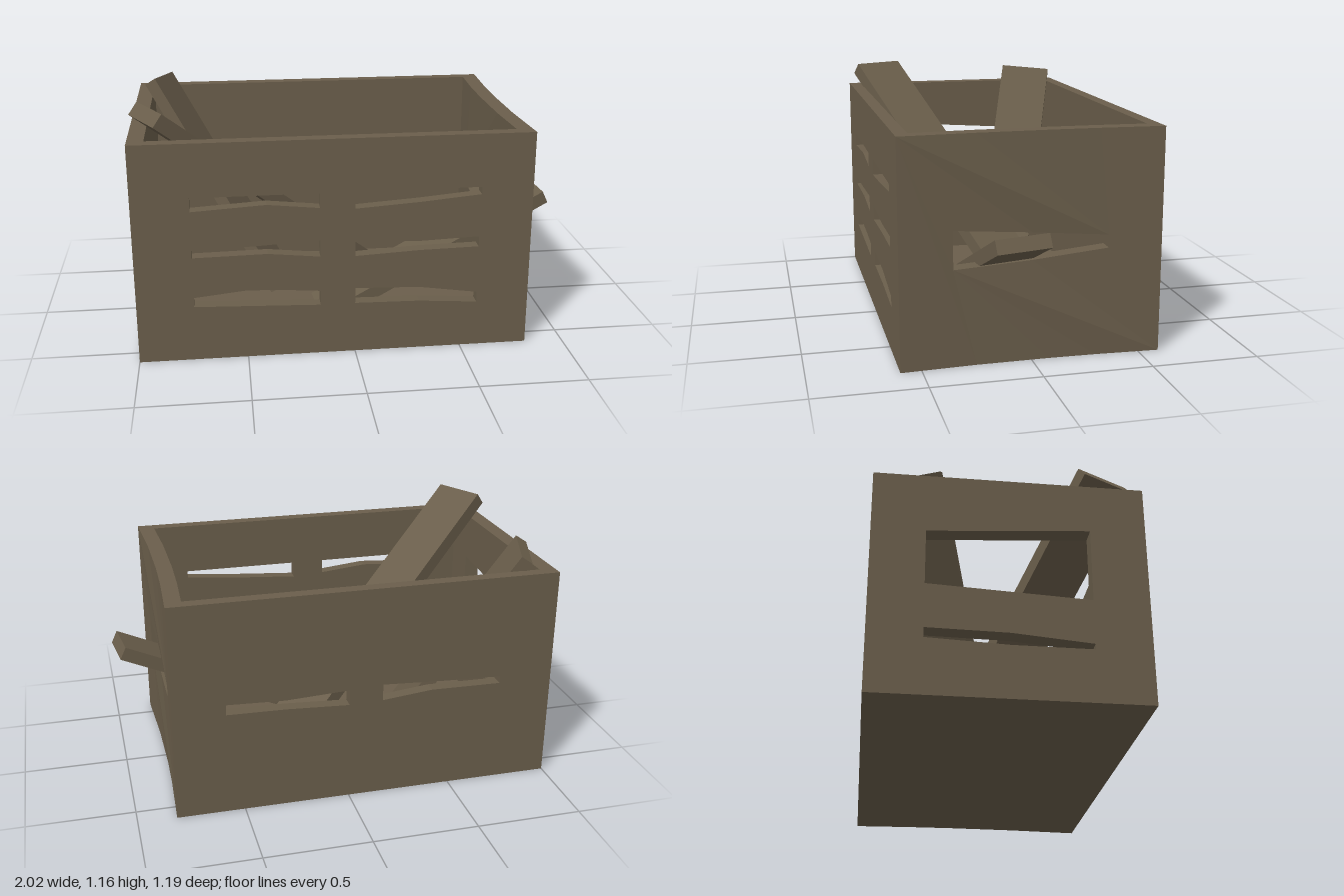
import * as THREE from 'three';

export function createModel() {
  const model = new THREE.Group();
  const wood = new THREE.MeshStandardMaterial({ color: 0x6a5e4b });
  wood.name = 'weathered wood';

  const H = 1.04, Z = 0.595, X0 = -1, X1 = 0.82; // outer crate size
  const T = 0.06, TS = 0.075;                    // end and side wall thickness

  function add(name, geometry) {
    const mesh = new THREE.Mesh(geometry, wood);
    mesh.name = name;
    model.add(mesh);
    return mesh;
  }

  const points = list => list.map(([x, y]) => new THREE.Vector2(x, y));

  // Flat wall with polygon holes, extruded along +z
  function wallGeometry(outline, holes, depth) {
    const shape = new THREE.Shape(points(outline));
    for (const hole of holes) shape.holes.push(new THREE.Path(points(hole)));
    return new THREE.ExtrudeGeometry(shape, { depth, bevelEnabled: false });
  }

  // Uneven slots shared by the long walls
  const middleSlots = [
    [[-0.74, 0.54], [-0.45, 0.55], [-0.16, 0.565], [-0.16, 0.485], [-0.4, 0.51], [-0.74, 0.505]],
    [[0, 0.555], [0.3, 0.54], [0.575, 0.55], [0.575, 0.5], [0.3, 0.495], [0, 0.48]],
  ];
  const outerSlots = [
    [[-0.74, 0.79], [-0.16, 0.79], [-0.16, 0.72], [-0.4, 0.745], [-0.74, 0.725]],
    [[0, 0.79], [0.58, 0.79], [0.58, 0.755], [0.3, 0.73], [0, 0.71]],
    [[-0.74, 0.31], [-0.5, 0.335], [-0.35, 0.33], [-0.16, 0.315], [-0.16, 0.245], [-0.74, 0.265]],
    [[0, 0.32], [0.3, 0.31], [0.575, 0.27], [0.575, 0.22], [0.3, 0.24], [0, 0.245]],
  ];

  // Long walls fit between the side walls
  const longOutline = [[X0 + TS, 0], [X1 - TS, 0], [X1 - TS, H], [X0 + TS, H]];
  add('frontWall', wallGeometry(longOutline, [...middleSlots, ...outerSlots], T)).position.z = Z - T;
  add('backWall', wallGeometry(longOutline, middleSlots, T)).position.z = -Z;

  // Side walls are drawn in (z, y); bow pushes the middle along x
  function sideWall(name, outerX, holes, bow) {
    const stations = [-Z, -0.3, -0.08, 0.25, Z];
    const outline = [
      ...stations.map(z => [z, 0]),
      ...[...stations].reverse().map(z => [z, H]),
    ];
    const geometry = wallGeometry(outline, holes, TS);
    geometry.rotateY(-Math.PI / 2);
    geometry.translate(outerX, 0, 0);
    const pos = geometry.attributes.position;
    for (let i = 0; i < pos.count; i++) {
      const s = pos.getZ(i) / Z;
      pos.setX(i, pos.getX(i) - bow * (1 - s * s));
    }
    geometry.computeVertexNormals();
    add(name, geometry);
  }
  sideWall('leftWall', X1, [
    [[-0.35, 0.5], [-0.35, 0.56], [0, 0.59], [0.355, 0.62], [0.355, 0.445], [0, 0.465]],
  ], 0.02);
  sideWall('rightWall', X0 + TS, [
    [[-0.36, 0.505], [-0.36, 0.76], [0.35, 0.81], [0.35, 0.47]],
    [[-0.36, 0.255], [-0.36, 0.3], [0, 0.295], [0.35, 0.265], [0.35, 0.24], [0, 0.24]],
  ], 0);

  // Floor
  const floor = new THREE.BoxGeometry(X1 - X0 - 2 * TS, 0.05, 2 * (Z - T));
  floor.translate((X0 + X1) / 2, 0.025, 0);
  add('floor', floor);

  // Loose plank: top face spans length and width from a start corner
  function plank(name, start, length, width, thickness) {
    const L = new THREE.Vector3(...length);
    const W = new THREE.Vector3(...width);
    const N = L.clone().cross(W).normalize().multiplyScalar(thickness);
    const geometry = new THREE.BoxGeometry(1, 1, 1);
    geometry.translate(0.5, -0.5, 0.5);
    geometry.applyMatrix4(new THREE.Matrix4().makeBasis(W, N, L).setPosition(...start));
    add(name, geometry);
  }
  plank('longLoosePlank', [-0.84, 1.165, 0.56], [1.21, -1.09, -0.63], [-0.12, 0, -0.24], 0.07);
  plank('steepLoosePlank', [-0.91, 1.13, -0.29], [0.6, -1.05, 0.3], [0.08, -0.02, -0.25], 0.06);
  plank('protrudingPlank', [0.965, 0.63, -0.03], [-1.125, -0.55, 0.13], [0.025, -0.01, 0.245], 0.065);

  return model;
}
